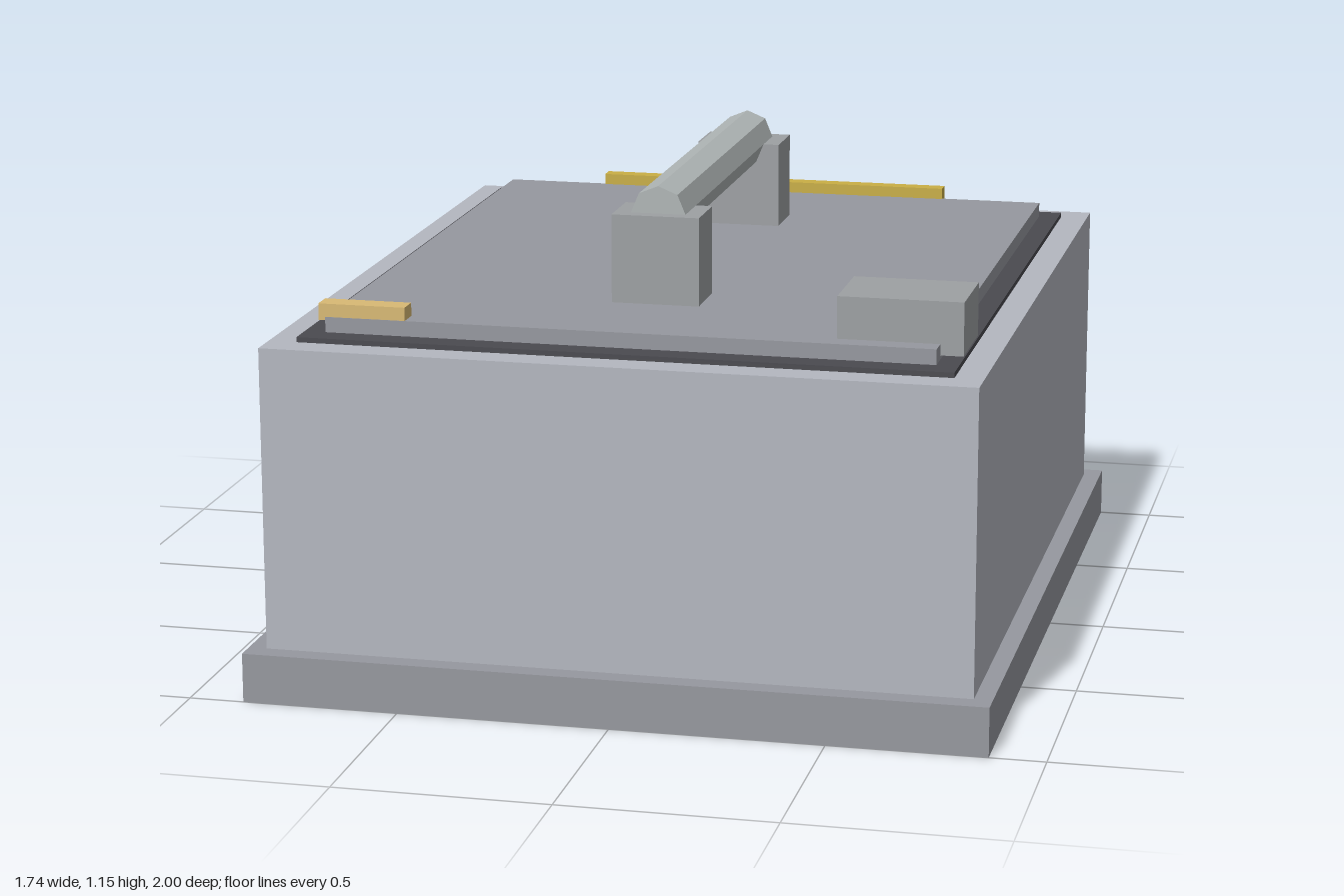
import * as THREE from 'three';

const paint = (color) => new THREE.MeshStandardMaterial({ color });

export function createModel() {
  const model = new THREE.Group();
  const shell = paint(0xb4b7c0);
  const trim = paint(0x96989f);
  const steel = paint(0x9da0a3);
  const rubber = paint(0x4a4a50);

  // Box given by its extents along each axis
  function box(name, [x0, x1], [y0, y1], [z0, z1], material, parent = model) {
    const mesh = new THREE.Mesh(new THREE.BoxGeometry(x1 - x0, y1 - y0, z1 - z0), material);
    mesh.position.set((x0 + x1) / 2, (y0 + y1) / 2, (z0 + z1) / 2);
    mesh.name = name;
    parent.add(mesh);
    return mesh;
  }

  // Case: plinth, body, gasket and lid
  box('base', [-0.87, 0.87], [0, 0.117], [-1, 1], trim);
  box('body', [-0.827, 0.827], [0.1, 0.833], [-0.95, 0.95], shell);
  box('gasket', [-0.76, 0.76], [0.83, 0.845], [-0.876, 0.876], rubber);
  box('lid', [-0.71, 0.71], [0.84, 0.881], [-0.816, 0.816], trim);

  // Fittings on the lid
  box('hinge', [-0.454, 0.454], [0.862, 0.908], [-0.85, -0.81], paint(0xc9ae45));
  box('label', [-0.726, -0.52], [0.873, 0.912], [0.762, 0.815], paint(0xd9b974));
  box('latch', [0.475, 0.763], [0.855, 0.979], [0.56, 0.766], steel);

  // Carrying handle: two posts and an octagonal bar
  const handle = new THREE.Group();
  handle.name = 'handle';
  for (const side of [-1, 1]) {
    const z = side * 0.457;
    box(side > 0 ? 'frontPost' : 'backPost', [-0.104, 0.104], [0.875, 1.09], [z - 0.071, z + 0.071], steel, handle);
  }
  const barMaterial = paint(0xb0b6b6);
  barMaterial.flatShading = true;
  const bar = new THREE.Mesh(new THREE.CylinderGeometry(0.065, 0.065, 0.992, 8), barMaterial);
  bar.name = 'handleBar';
  bar.rotation.x = Math.PI / 2;
  bar.position.y = 1.09;
  handle.add(bar);
  model.add(handle);

  return model;
}
